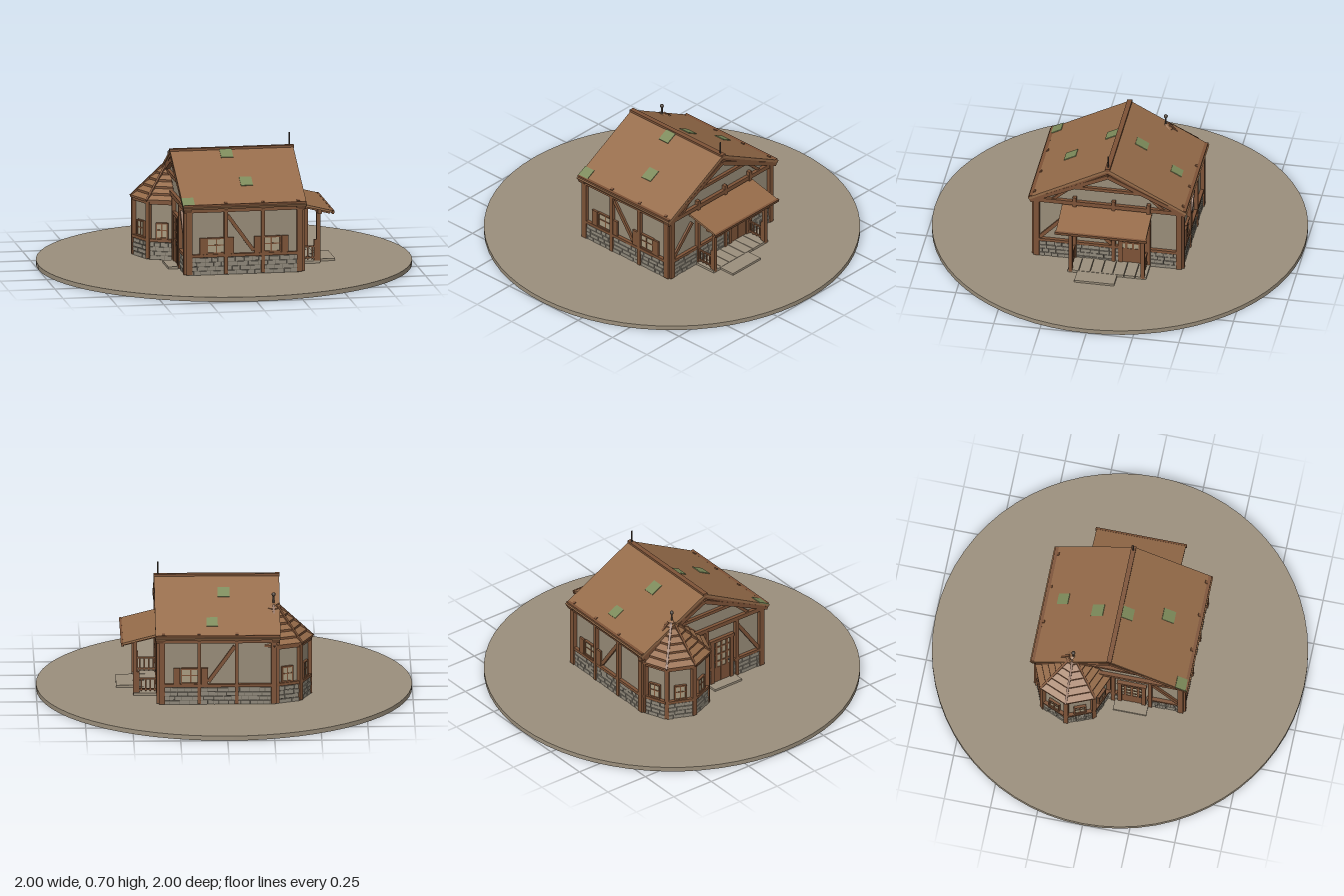
import * as THREE from 'three';

const mat = (name, hex) => {
  const m = new THREE.MeshStandardMaterial({ color: hex });
  m.name = name;
  return m;
};

export function createModel() {
  const earth = mat('earth', 0x9b8f7c), plaster = mat('plaster', 0x988c78), timber = mat('timber', 0x7d5337);
  const shingle = mat('shingle', 0x956b49), stone = mat('stone', 0x8f887a), mortar = mat('mortar', 0x6c6558);
  const moss = mat('moss', 0x7c8a5a), glass = mat('glass', 0xa89b80), iron = mat('iron', 0x4a3f36);
  shingle.flatShading = true;
  shingle.side = THREE.DoubleSide;

  const model = new THREE.Group();
  model.name = 'cottage';
  let seed = 7;
  const rand = () => (seed = (seed * 16807) % 2147483647) / 2147483647;

  const group = (name, parent = model) => {
    const g = new THREE.Group();
    g.name = name;
    parent.add(g);
    return g;
  };
  const add = (parent, name, geo, material, x = 0, y = 0, z = 0) => {
    const m = new THREE.Mesh(geo, material);
    m.name = name;
    m.position.set(x, y, z);
    parent.add(m);
    return m;
  };
  const box = (parent, name, w, h, d, material, x, y, z) =>
    add(parent, name, new THREE.BoxGeometry(w, h, d), material, x, y, z);
  // Square beam between two points
  const beam = (parent, name, a, b, w = 0.02, d = w, material = timber) => {
    const p = new THREE.Vector3(...a), q = new THREE.Vector3(...b);
    const m = box(parent, name, w, d, p.distanceTo(q), material, 0, 0, 0);
    m.position.copy(p).add(q).multiplyScalar(0.5);
    m.rotation.order = 'YXZ';
    const v = q.sub(p);
    m.rotation.y = Math.atan2(v.x, v.z);
    m.rotation.x = -Math.atan2(v.y, Math.hypot(v.x, v.z));
    return m;
  };

  // Wall details are laid out facing +z, then turned into place
  const wallGroup = (name, angle, dist, cx, cz) => {
    const g = group(name);
    g.rotation.y = angle;
    g.position.set(cx + Math.sin(angle) * dist, 0, cz + Math.cos(angle) * dist);
    return g;
  };
  const masonry = (g, u0, u1) => {
    box(g, 'mortarBase', u1 - u0, 0.095, 0.012, mortar, (u0 + u1) / 2, 0.0725, 0.002);
    for (let row = 0; row < 4; row++) {
      let u = u0;
      while (u < u1 - 0.004) {
        let w = 0.03 + 0.03 * rand();
        if (u1 - u - w < 0.018) w = u1 - u;
        box(g, 'foundationStone', w - 0.003, 0.02, 0.02, stone, u + w / 2, 0.037 + row * 0.0235, 0.002 + rand() * 0.004);
        u += w;
      }
    }
    box(g, 'sillBeam', u1 - u0, 0.016, 0.03, timber, (u0 + u1) / 2, 0.13, 0.004);
  };
  const post = (g, u, top = 0.38, w = 0.02) =>
    box(g, 'wallPost', w, top - 0.03, 0.034, timber, u, (top + 0.03) / 2, 0.004);
  const brace = (g, u0, y0, u1, y1) => beam(g, 'brace', [u0, y0, 0.004], [u1, y1, 0.004], 0.016, 0.02);
  const windowUnit = (g, u, w, shutters = true) => {
    box(g, 'windowPane', w, 0.08, 0.008, glass, u, 0.182, 0.004);
    for (const s of [-1, 1]) {
      box(g, 'windowJamb', 0.008, 0.085, 0.016, timber, u + s * w / 2, 0.182, 0.006);
      box(g, 'windowRail', w, 0.008, 0.016, timber, u, 0.182 + s * 0.04, 0.006);
      if (shutters) box(g, 'shutter', 0.036, 0.09, 0.012, timber, u + s * (w / 2 + 0.024), 0.182, 0.012);
    }
    box(g, 'muntin', 0.006, 0.08, 0.012, timber, u, 0.182, 0.005);
    box(g, 'muntin', w, 0.006, 0.012, timber, u, 0.185, 0.005);
  };
  const door = (g, u, w, h) => {
    box(g, 'doorPane', w, h, 0.008, glass, u, 0.035 + h / 2, 0.005);
    for (const s of [-1, 1]) box(g, 'doorJamb', 0.022, h, 0.03, timber, u + s * w / 2, 0.035 + h / 2, 0.004);
    box(g, 'doorLintel', w + 0.03, 0.018, 0.032, timber, u, 0.035 + h, 0.004);
    box(g, 'doorPanel', w, 0.09, 0.014, timber, u, 0.08, 0.005);
    for (const s of [-1, 0, 1]) box(g, 'doorStile', 0.012, h, 0.014, timber, u + s * w * 0.27, 0.035 + h / 2, 0.006);
    for (const t of [0.48, 0.65, 0.82]) box(g, 'doorRail', w, 0.008, 0.014, timber, u, 0.035 + h * t, 0.006);
    add(g, 'doorKnob', new THREE.SphereGeometry(0.006, 8, 6), iron, u + w * 0.36, 0.15, 0.018);
  };

  // Ground disc
  add(model, 'ground', new THREE.CylinderGeometry(1, 1, 0.025, 64), earth, 0, 0.0125, 0);

  // Plaster body with gables
  const CX = 0.04, HX = 0.305, HZ = 0.39;
  const s = new THREE.Shape([[-HZ, 0.025], [HZ, 0.025], [HZ, 0.38], [0, 0.565], [-HZ, 0.38]].map(p => new THREE.Vector2(...p)));
  const body = add(model, 'plasterWalls', new THREE.ExtrudeGeometry(s, { depth: 2 * HX, bevelEnabled: false }), plaster, CX - HX, 0, 0);
  body.rotation.y = Math.PI / 2;

  // Long walls
  for (const side of [1, -1]) {
    const g = wallGroup(side > 0 ? 'frontWall' : 'backWall', side > 0 ? 0 : Math.PI, HZ, CX, 0);
    masonry(g, -HX, HX);
    for (const u of [-0.1, 0.1]) post(g, u);
    for (const u of [-0.298, 0.298]) post(g, u, 0.385, 0.03);
    box(g, 'topPlate', 2 * HX + 0.03, 0.024, 0.036, timber, 0, 0.378, 0.004);
    brace(g, -0.09 * side, 0.345, 0.05 * side, 0.15);
    windowUnit(g, side * 0.145, 0.1);
    if (side > 0) windowUnit(g, -0.15, 0.1);
  }

  // Gable walls
  for (const side of [1, -1]) {
    const g = wallGroup(side > 0 ? 'porchGable' : 'bayGable', side * Math.PI / 2, HX, CX, 0);
    for (const u of [-0.385, 0.385]) post(g, u, 0.4, 0.03);
    box(g, 'tieBeam', 0.8, 0.024, 0.032, timber, 0, 0.385, 0.004);
    box(g, 'collarBeam', 0.42, 0.018, 0.028, timber, 0, 0.485, 0.004);
    for (const e of [1, -1]) {
      beam(g, 'gableRafter', [e * 0.42, 0.378, 0.004], [0, 0.576, 0.004], 0.04, 0.022);
      beam(g, 'gableStrut', [e * 0.3, 0.39, 0.004], [e * 0.2, 0.48, 0.004], 0.016);
    }
    if (side > 0) {
      masonry(g, -0.39, 0.06);
      masonry(g, 0.21, 0.39);
      for (const u of [-0.18, 0.03, 0.22]) post(g, u, 0.42);
      brace(g, -0.37, 0.14, -0.22, 0.3);
      brace(g, -0.15, 0.3, 0.02, 0.14);
      door(g, 0.135, 0.135, 0.26);
    } else {
      masonry(g, 0.2, 0.39);
      masonry(g, -0.02, 0.05);
      post(g, 0.02);
      post(g, 0.22);
      brace(g, 0.37, 0.14, 0.23, 0.34);
      door(g, 0.12, 0.13, 0.26);
    }
  }

  // Main roof, one slope per side
  const T = Math.atan2(0.23, 0.43), L = 0.488;
  const mossSpots = { 1: [[0.005, 0.04, 0.065], [0.075, 0.25, 0.065], [-0.262, 0.39, 0.065]], '-1': [[0.005, 0.12, 0.065], [0.07, 0.32, 0.06]] };
  for (const side of [1, -1]) {
    const turn = group(side > 0 ? 'frontRoof' : 'backRoof');
    turn.position.x = CX;
    turn.rotation.y = side > 0 ? 0 : Math.PI;
    const g = group('roofSlope', turn);
    g.position.y = 0.628;
    g.rotation.x = T;
    box(g, 'roofSlab', 0.665, 0.014, L, shingle, 0, -0.007, L / 2);
    for (const u of [-0.32, 0.32]) box(g, 'bargeRafter', 0.016, 0.016, L, timber, u, -0.02, L / 2);
    for (const u of [-0.1, 0.1, 0.29]) {
      box(g, 'rafterTail', 0.02, 0.02, 0.08, timber, side * u, -0.024, L - 0.045);
      box(g, 'roofPeg', 0.016, 0.008, 0.014, timber, side * u, 0.001, L - 0.033);
    }
    for (const [x, z, w] of mossSpots[side])
      box(g, 'mossPatch', w, 0.006, w * 1.1, moss, (x - CX) * side, 0.001, z / Math.cos(T));
    box(turn, 'eavePurlin', 0.66, 0.022, 0.018, timber, 0, 0.4, 0.415);
  }
  box(model, 'ridgeBeam', 0.67, 0.016, 0.026, timber, CX, 0.625, 0);
  add(model, 'ridgeSpike', new THREE.CylinderGeometry(0.004, 0.004, 0.08, 8), iron, 0.352, 0.66, 0);

  // Porch
  const porch = group('porch');
  for (let i = 0; i < 7; i++) box(porch, 'deckSlab', 0.14, 0.014, 0.058, earth, 0.415, 0.032, -0.2 + i * 0.061);
  box(porch, 'porchStep', 0.1, 0.012, 0.215, earth, 0.525, 0.031, 0.035);
  const slope = group('porchRoof', porch);
  slope.position.set(0.355, 0.365, 0.005);
  slope.rotation.z = -Math.atan2(0.05, 0.195);
  box(slope, 'porchRoofSlab', 0.2, 0.012, 0.485, shingle, 0.1, -0.004, 0);
  box(slope, 'porchFascia', 0.012, 0.018, 0.495, timber, 0.198, -0.006, 0);
  for (const z of [-0.2, -0.1, 0, 0.1, 0.2]) box(slope, 'porchRafter', 0.19, 0.014, 0.016, timber, 0.095, -0.016, z);
  box(porch, 'porchBeam', 0.022, 0.022, 0.46, timber, 0.477, 0.312, 0.005);
  for (const z of [0.18, -0.21]) {
    box(porch, 'porchPost', 0.02, 0.28, 0.02, timber, 0.477, 0.17, z);
    box(porch, 'newelPost', 0.014, 0.115, 0.014, timber, 0.46, 0.095, z);
    for (const y of [0.055, 0.115]) box(porch, 'handrail', 0.11, 0.008, 0.01, timber, 0.41, y, z);
    for (let i = 0; i < 4; i++) box(porch, 'baluster', 0.007, 0.07, 0.007, timber, 0.372 + i * 0.024, 0.08, z);
  }
  box(model, 'sideStep', 0.075, 0.012, 0.18, earth, -0.3, 0.031, 0.12);

  // Eight-sided bay
  const BX = -0.26, BZ = -0.2, R = 0.187;
  const bayBody = new THREE.CylinderGeometry(R, R, 0.315, 8).toNonIndexed();
  bayBody.computeVertexNormals();
  add(model, 'bayWalls', bayBody, plaster, BX, 0.1825, BZ);
  const facet = R * Math.sin(Math.PI / 8);
  for (let i = 0; i < 4; i++) {
    const g = wallGroup('bayFacet', -Math.PI / 8 - i * Math.PI / 4, R * Math.cos(Math.PI / 8), BX, BZ);
    masonry(g, -facet, facet);
    box(g, 'bayTopPlate', 2 * facet, 0.02, 0.03, timber, 0, 0.335, 0.002);
    windowUnit(g, 0, 0.06, false);
  }
  for (let i = 0; i < 5; i++) {
    const g = wallGroup('bayCorner', -i * Math.PI / 4, R - 0.004, BX, BZ);
    post(g, 0, 0.345, 0.024);
  }

  // Tiered bay roof with hip ribs and finial
  const bayRoof = group('bayRoof');
  bayRoof.position.set(BX, 0, BZ);
  for (let i = 0; i < 6; i++) {
    const r = 0.212 - i * 0.034, y = 0.343 + i * 0.031;
    add(bayRoof, 'roofTier', new THREE.CylinderGeometry(Math.max(r - 0.038, 0.004), r, 0.022, 8, 1, true), shingle, 0, y + 0.018, 0);
    const rim = new THREE.CylinderGeometry(r, r, 0.012, 8).toNonIndexed();
    rim.computeVertexNormals();
    add(bayRoof, 'tierRim', rim, timber, 0, y + 0.002, 0);
  }
  for (let i = 0; i < 5; i++) {
    const a = -i * Math.PI / 4, c = Math.cos(a), n = Math.sin(a);
    beam(bayRoof, 'hipRib', [n * 0.21, 0.345, c * 0.21], [n * 0.02, 0.52, c * 0.02], 0.012);
  }
  add(bayRoof, 'finialRod', new THREE.CylinderGeometry(0.005, 0.005, 0.06, 8), iron, 0, 0.545, 0);
  add(bayRoof, 'finialBall', new THREE.SphereGeometry(0.011, 10, 8), iron, 0, 0.573, 0);

  return model;
}
